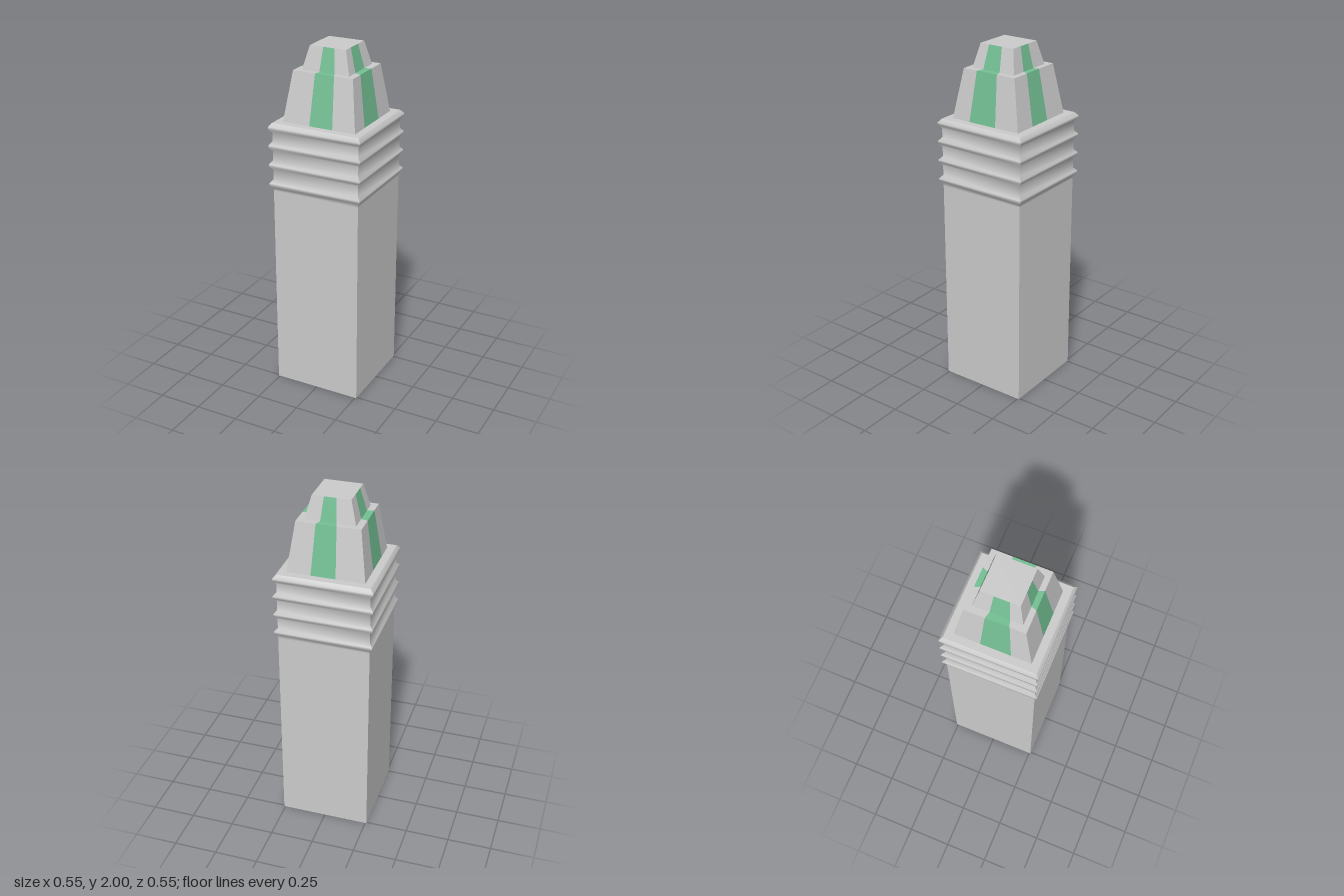
import * as THREE from 'three';
import { mergeGeometries } from 'three/addons/utils/BufferGeometryUtils.js';

const grey = new THREE.MeshStandardMaterial({ color: 0xcccccc });
const green = new THREE.MeshStandardMaterial({ color: 0x74c094 });

// One side of a rectangular loft. Rings are [y, halfX, halfZ];
// u0..u1 is the covered span of the side, from -1 to 1.
function sideStrip(rings, axis, sign, u0, u1, smooth) {
  const pos = [], index = [];
  const flip = (axis === 'z') !== (sign > 0);
  for (const [y, hx, hz] of rings) {
    for (const u of [u0, u1]) {
      if (axis === 'z') pos.push(u * hx, y, sign * hz);
      else pos.push(sign * hx, y, u * hz);
    }
  }
  for (let i = 0; i < rings.length - 1; i++) {
    const a = i * 2, b = a + 1, c = a + 3, d = a + 2;
    if (flip) index.push(a, c, b, a, d, c);
    else index.push(a, b, c, a, c, d);
  }
  let g = new THREE.BufferGeometry();
  g.setAttribute('position', new THREE.Float32BufferAttribute(pos, 3));
  g.setIndex(index);
  if (!smooth) g = g.toNonIndexed();
  g.computeVertexNormals();
  return smooth ? g.toNonIndexed() : g;
}

function cap([y, hx, hz], up) {
  const g = new THREE.PlaneGeometry(hx * 2, hz * 2);
  g.deleteAttribute('uv');
  g.rotateX(up ? -Math.PI / 2 : Math.PI / 2);
  g.translate(0, y, 0);
  return g.toNonIndexed();
}

const sides = [['z', 1], ['z', -1], ['x', 1], ['x', -1]];

export function createModel() {
  const model = new THREE.Group();
  const add = (name, geometries, material) => {
    const mesh = new THREE.Mesh(mergeGeometries(geometries), material);
    mesh.name = name;
    model.add(mesh);
  };

  // Square shaft whose upper part swells into four soft ribs
  const half = 0.258, peak = 0.275;
  const shaft = [[0, half, half], [1.2, half, half]];
  for (const y of [1.24, 1.35, 1.46, 1.565]) {
    for (const [dy, h] of [[-0.027, half], [-0.007, peak], [0.007, peak], [0.027, half]]) {
      shaft.push([y + dy, h, h]);
    }
  }
  const shaftTop = shaft[shaft.length - 1];
  add('ribbedShaft', [
    ...sides.map(([axis, s]) => sideStrip(shaft, axis, s, -1, 1, true)),
    cap(shaft[0], false),
    cap(shaftTop, true),
  ], grey);

  // Two stepped, tapering tiers with a narrow ledge between them
  const tiers = [
    [1.592, 0.216, 0.215],
    [1.87, 0.177, 0.165],
    [1.87, 0.14, 0.135],
    [2, 0.106, 0.106],
  ];
  // The off-centre stripes narrow together with the tiers
  const span = { z: [-0.255, 0.38], x: [-0.316, 0.475] };
  const plain = [], stripes = [];
  for (const [axis, s] of sides) {
    const [a, b] = span[axis];
    plain.push(sideStrip(tiers, axis, s, -1, a, false), sideStrip(tiers, axis, s, b, 1, false));
    stripes.push(sideStrip(tiers, axis, s, a, b, false));
  }
  add('steppedTop', [...plain, cap(tiers[3], true)], grey);
  add('greenStripes', stripes, green);

  return model;
}
